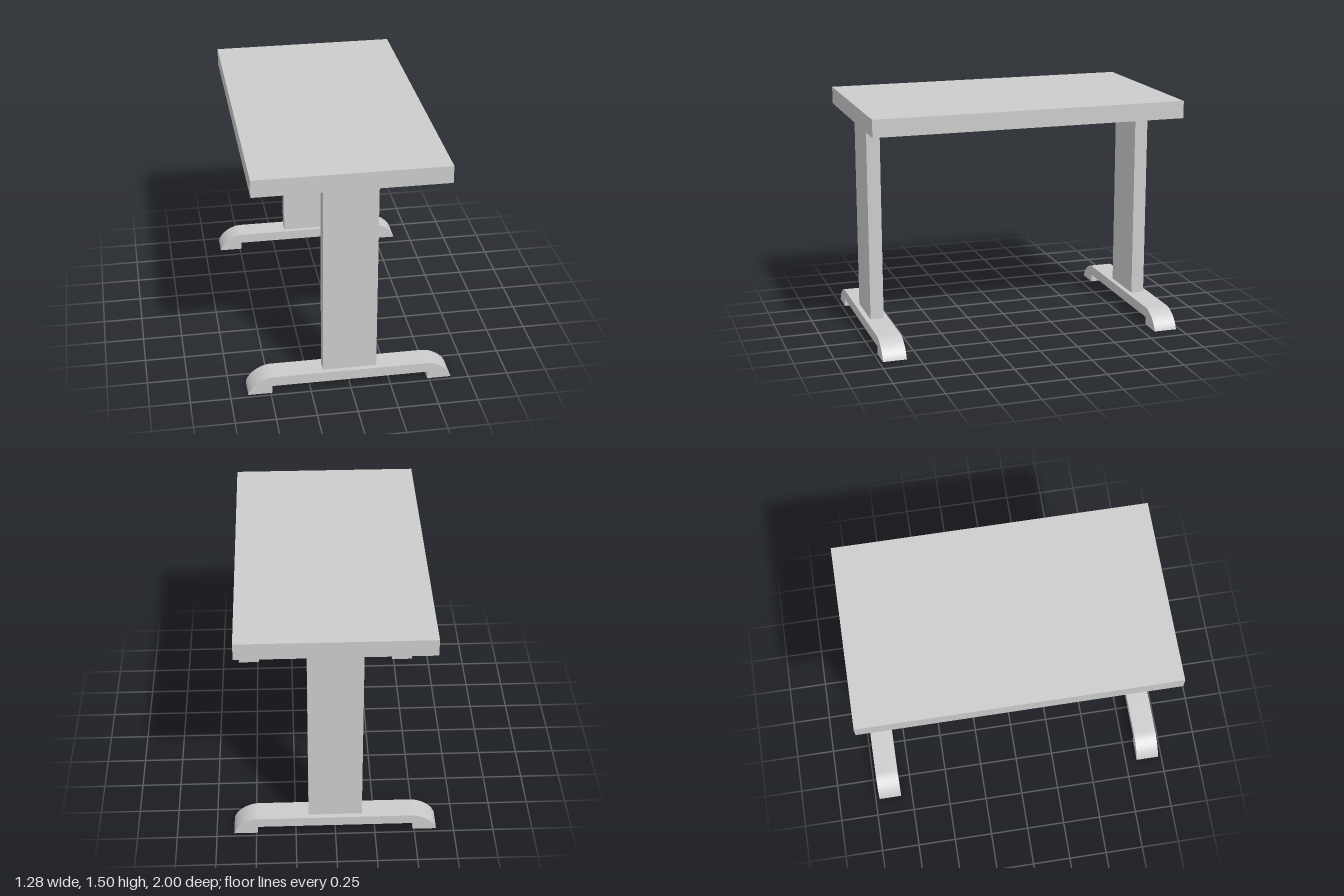
import * as THREE from 'three';
import { toCreasedNormals } from 'three/addons/utils/BufferGeometryUtils.js';

const material = new THREE.MeshStandardMaterial({ color: 0xcccccc });

function addPart(parent, name, geometry, x, y, z) {
  const mesh = new THREE.Mesh(geometry, material);
  mesh.name = name;
  mesh.position.set(x, y, z);
  parent.add(mesh);
  return mesh;
}

// Foot profile: flat bar with a pad and a rounded shoulder at each end
function footGeometry(depth) {
  const s = new THREE.Shape();
  s.moveTo(-0.64, 0);
  s.lineTo(-0.49, 0);
  s.lineTo(-0.49, 0.05);
  s.lineTo(0.49, 0.05);
  s.lineTo(0.49, 0);
  s.lineTo(0.64, 0);
  s.bezierCurveTo(0.625, 0.06, 0.55, 0.115, 0.48, 0.115);
  s.lineTo(-0.48, 0.115);
  s.bezierCurveTo(-0.55, 0.115, -0.625, 0.06, -0.64, 0);
  const g = new THREE.ExtrudeGeometry(s, { depth, bevelEnabled: false, curveSegments: 12 });
  g.translate(0, 0, -depth / 2);
  return toCreasedNormals(g, Math.PI / 6);
}

export function createModel() {
  const table = new THREE.Group();
  table.name = 'table';

  // Top slab, sitting just clear of the columns
  addPart(table, 'tabletop', new THREE.BoxGeometry(1.19, 0.11, 2), 0, 1.442, 0);

  // One column and foot at each end
  const column = new THREE.BoxGeometry(0.336, 1.265, 0.086);
  const foot = footGeometry(0.15);
  for (const [end, z] of [['front', 0.902], ['back', -0.9]]) {
    const leg = new THREE.Group();
    leg.name = end + 'Leg';
    leg.position.z = z;
    addPart(leg, end + 'Column', column, 0, 0.7475, 0);
    addPart(leg, end + 'Foot', foot, 0, 0, 0);
    table.add(leg);
  }
  return table;
}
